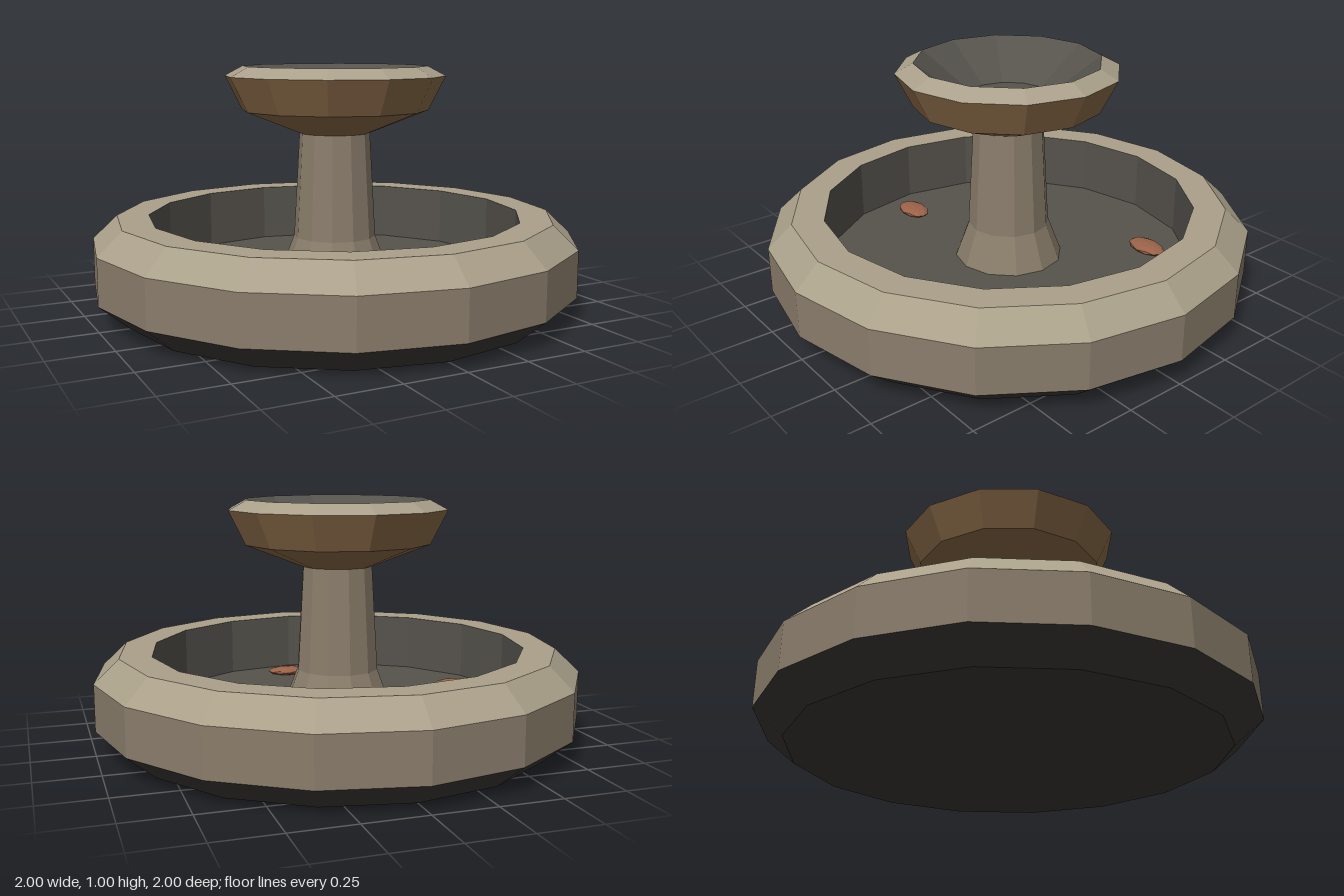
import * as THREE from 'three';

const mat = (color) => new THREE.MeshStandardMaterial({ color, flatShading: true });

export function createModel() {
  const model = new THREE.Group();
  const stone = mat(0x8a7d6b), rim = mat(0xaaa08a), inner = mat(0x56534d);
  const under = mat(0x3a3834), bronze = mat(0x8a6a48), leafMat = mat(0x9a6248);

  // Faceted ring or surface turned from [radius, height] points,
  // listed upwards on the outside and downwards on the inside
  function turned(parent, name, points, sides, material) {
    const profile = points.map(([r, y]) => new THREE.Vector2(r, y));
    const mesh = new THREE.Mesh(new THREE.LatheGeometry(profile, sides), material);
    mesh.name = name;
    parent.add(mesh);
  }

  // Wide lower basin
  const basin = new THREE.Group();
  basin.name = 'basin';
  turned(basin, 'basinUnderside', [[0, 0], [0.88, 0], [1, 0.1]], 16, under);
  turned(basin, 'basinSide', [[1, 0.1], [1, 0.29]], 16, stone);
  turned(basin, 'basinRim', [[1, 0.29], [0.9, 0.385], [0.77, 0.385]], 16, rim);
  turned(basin, 'basinInside', [[0.77, 0.385], [0.77, 0.14], [0, 0.14]], 16, inner);
  model.add(basin);

  // Flared pillar
  turned(model, 'pillar', [[0.23, 0.13], [0.17, 0.29], [0.145, 0.73]], 12, stone);

  // Upper bowl
  const bowl = new THREE.Group();
  bowl.name = 'bowl';
  turned(bowl, 'bowlOutside', [[0, 0.72], [0.145, 0.72], [0.385, 0.815], [0.455, 0.955]], 12, bronze);
  turned(bowl, 'bowlRim', [[0.455, 0.955], [0.38, 0.995]], 12, rim);
  turned(bowl, 'bowlInside', [[0.38, 0.995], [0.172, 0.845], [0, 0.845]], 12, inner);
  model.add(bowl);

  // Fallen leaves on the basin floor
  const leafShape = new THREE.IcosahedronGeometry(1, 1);
  const spots = [[-0.435, -0.405], [0.36, -0.475], [0.585, 0], [0.495, 0.315], [0.055, 0.59], [-0.585, 0.1]];
  spots.forEach(([x, z]) => {
    const leaf = new THREE.Mesh(leafShape, leafMat);
    leaf.name = 'leaf';
    leaf.scale.set(0.092, 0.02, 0.058);
    leaf.position.set(x, 0.155, z);
    leaf.rotation.y = -0.08;
    model.add(leaf);
  });

  return model;
}
